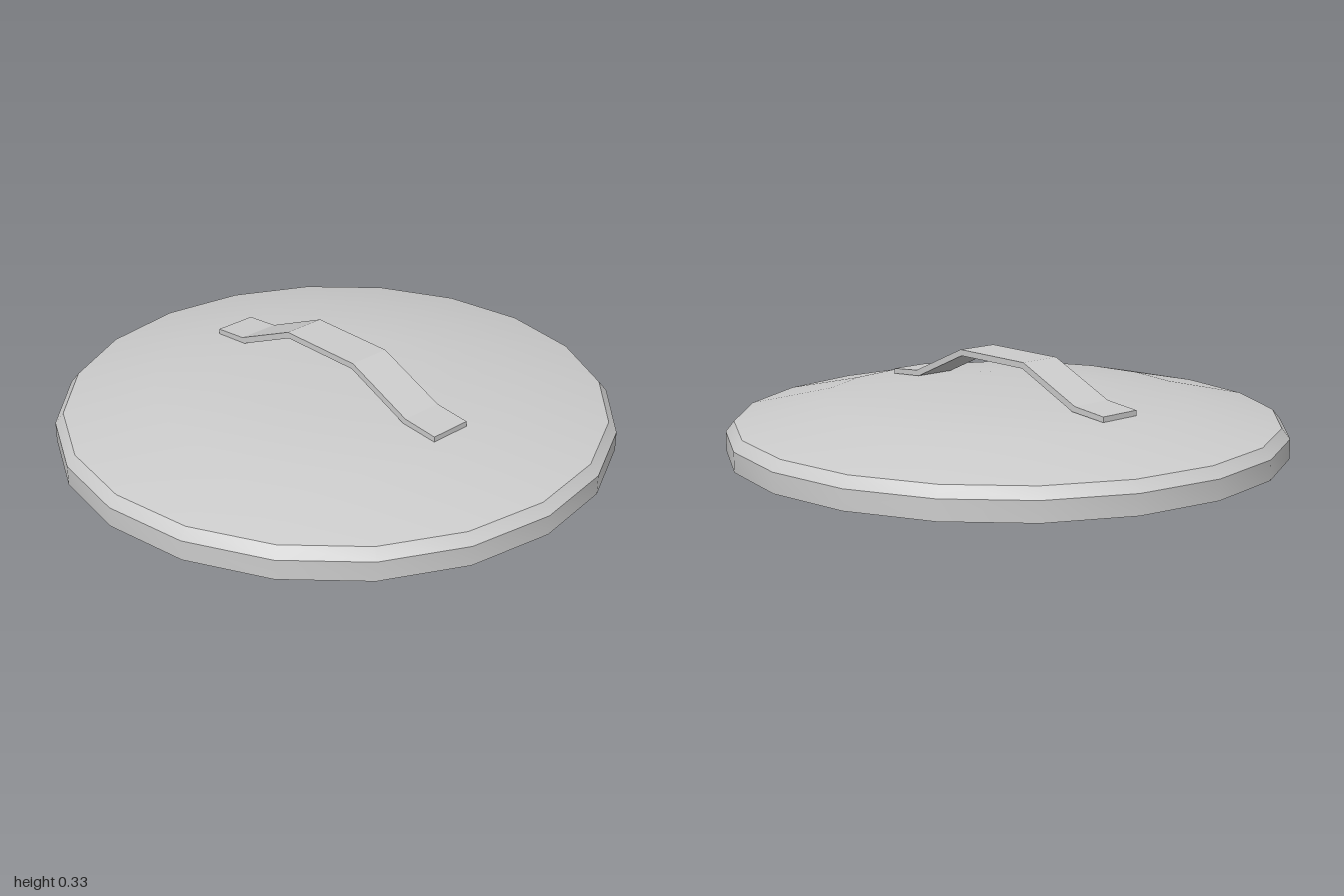
import * as THREE from 'three';
import { toCreasedNormals } from 'three/addons/utils/BufferGeometryUtils.js';

const material = new THREE.MeshStandardMaterial({ color: 0xcccccc });

// Twenty-sided lid: domed top, bevelled edge, thin rim and a shallow hollow underside
function makeLid() {
  const profile = [
    [0, 0.122], [0.32, 0.12], [0.64, 0.107], [0.925, 0.075], [0.963, 0],
    [1, 0], [1, 0.071], [0.97, 0.108], [0.655, 0.18], [0.33, 0.205], [0, 0.206],
  ].map(([r, y]) => new THREE.Vector2(r, y));
  const geometry = toCreasedNormals(new THREE.LatheGeometry(profile, 20), Math.PI / 6);
  const lid = new THREE.Mesh(geometry, material);
  lid.name = 'lid';
  return lid;
}

// Bent strap handle: a side outline in z and y, mirrored, extruded across x
function makeHandle() {
  const width = 0.156;
  const top = [[0.56, 0.207], [0.425, 0.22], [0.168, 0.333]];
  const under = [[0.163, 0.311], [0.413, 0.2], [0.56, 0.188]];
  const mirror = (points) => points.map(([z, y]) => [-z, y]).reverse();
  const outline = [...top, ...mirror(top), ...mirror(under), ...under];
  const shape = new THREE.Shape(outline.map(([z, y]) => new THREE.Vector2(z, y)));
  const geometry = new THREE.ExtrudeGeometry(shape, { depth: width, bevelEnabled: false });
  geometry.translate(0, 0, -width / 2);
  geometry.rotateY(-Math.PI / 2);
  const handle = new THREE.Mesh(geometry, material);
  handle.name = 'handle';
  return handle;
}

export function createModel() {
  const group = new THREE.Group();
  group.name = 'potLid';
  group.add(makeLid(), makeHandle());
  return group;
}
